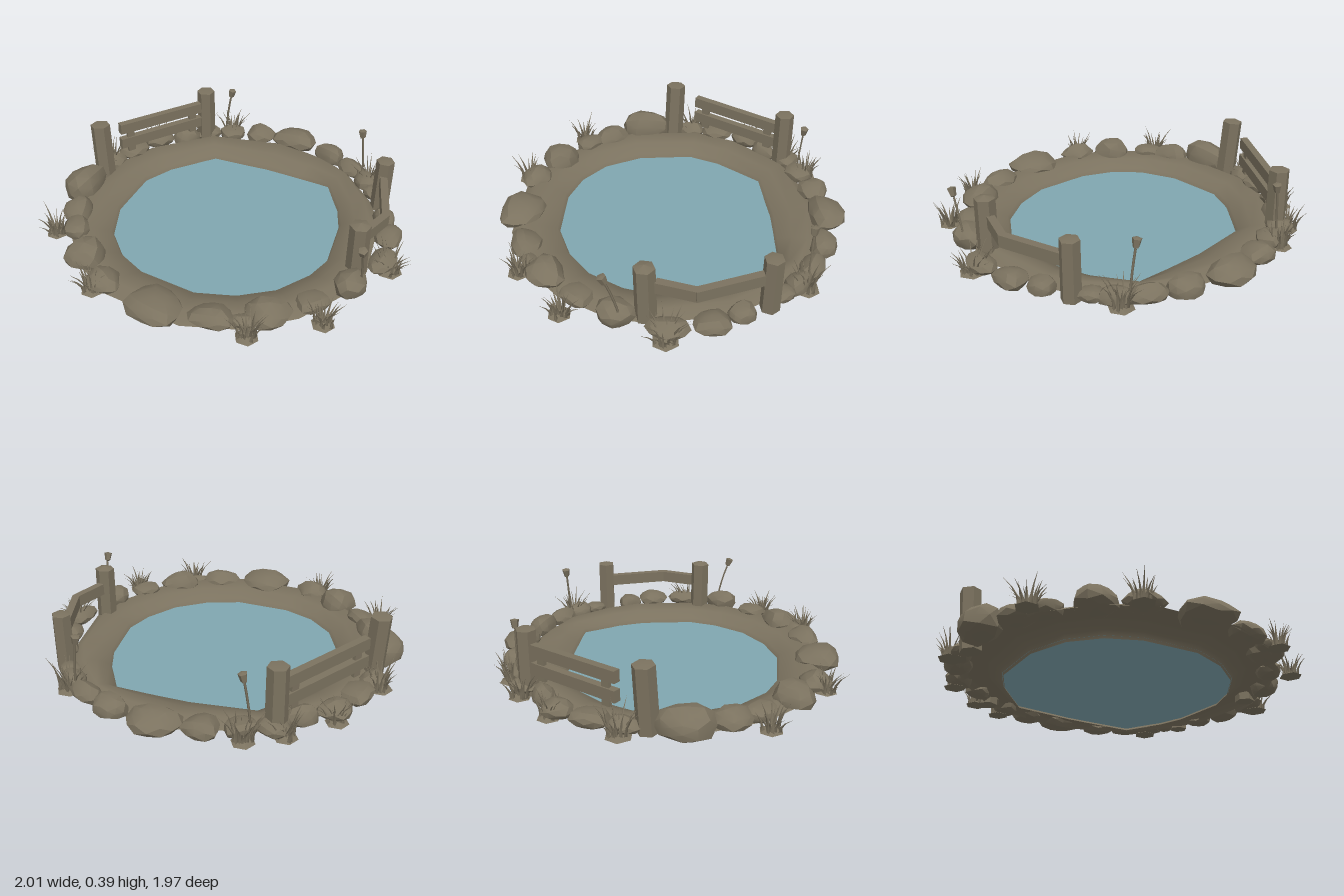
import * as THREE from 'three';
import { toCreasedNormals } from 'three/addons/utils/BufferGeometryUtils.js';

const earth = new THREE.MeshStandardMaterial({ color: 0x7b725f, side: THREE.DoubleSide });
earth.name = 'earth brown';
const waterBlue = new THREE.MeshStandardMaterial({ color: 0x7fa6af, side: THREE.DoubleSide });
waterBlue.name = 'water blue';

// Small seeded random generator
let seed = 7;
const rnd = () => (seed = (seed * 16807) % 2147483647) / 2147483647;
const range = (a, b) => a + (b - a) * rnd();

// Shoreline corners, as [x, z] in order around the pond
const shore = [
  [0.64, -0.28], [0.645, -0.05], [0.62, 0.1], [0.5, 0.37], [0.38, 0.48], [0.2, 0.57], [0, 0.59],
  [-0.2, 0.55], [-0.45, 0.38], [-0.56, 0.23], [-0.61, 0.05], [-0.58, -0.17], [-0.43, -0.44],
  [-0.28, -0.54], [0, -0.64], [0.3, -0.49], [0.48, -0.38],
];

function mesh(name, geometry, material = earth) {
  const m = new THREE.Mesh(geometry, material);
  m.name = name;
  return m;
}

// Bank: rings spreading from the shoreline up to a rounded lip
function bank() {
  const rings = [[0, 0], [0.08, 0.035], [0.4, 0.068], [0.75, 0.085], [1, 0.045]];
  const pos = [], idx = [], n = shore.length;
  for (const [t, y] of rings) {
    for (const [x, z] of shore) {
      const r = Math.hypot(x, z), k = (r + (0.85 - r) * t) / r;
      pos.push(x * k, y, z * k);
    }
  }
  for (let j = 0; j < rings.length - 1; j++) {
    for (let i = 0; i < n; i++) {
      const a = j * n + i, b = j * n + (i + 1) % n;
      idx.push(a, b, a + n, b, b + n, a + n);
    }
  }
  const g = new THREE.BufferGeometry();
  g.setAttribute('position', new THREE.Float32BufferAttribute(pos, 3));
  g.setIndex(idx.reverse());
  g.computeVertexNormals();
  return mesh('bank', g);
}

// Water sheet, meeting the bank just above its lower edge
function water() {
  const s = new THREE.Shape(shore.map(([x, z]) => new THREE.Vector2(x * 1.014, -z * 1.014)));
  const g = new THREE.ShapeGeometry(s);
  g.rotateX(-Math.PI / 2).translate(0, 0.012, 0);
  return mesh('water', g, waterBlue);
}

// Lumpy boulder with a flat base
function rock([x, z, r, h]) {
  const g = new THREE.IcosahedronGeometry(1, 1);
  const p = g.attributes.position, v = new THREE.Vector3();
  const a = range(0, 6), b = range(0, 6), c = range(0, 6);
  for (let i = 0; i < p.count; i++) {
    v.fromBufferAttribute(p, i);
    const k = 1 + 0.1 * Math.sin(3 * v.x + a) + 0.09 * Math.sin(4 * v.z + b) + 0.07 * Math.sin(4 * v.y + c);
    v.multiplyScalar(k);
    p.setXYZ(i, v.x * r, Math.max(v.y, -0.7) * h * 0.6, v.z * r * 0.86);
  }
  const m = mesh('rock', toCreasedNormals(g, 0.5));
  m.position.set(x, 0.045 + h * 0.4, z);
  m.rotation.y = Math.atan2(x, z) + range(-0.3, 0.3);
  return m;
}

// Tuft of bent tapering blades on a small mound
function tuft([x, z, top, spread = 1]) {
  const group = new THREE.Group();
  group.name = 'grassTuft';
  group.position.set(x, 0.04, z);
  const mound = mesh('tuftMound', new THREE.ConeGeometry(0.06 * spread, 0.03, 6));
  mound.position.y = 0.014;
  group.add(mound);
  for (let i = 0; i < 20; i++) {
    const h = top * range(0.5, 1), lean = range(0.015, 0.085) * spread;
    const g = new THREE.ConeGeometry(0.011, h, 3, 3);
    g.translate(0, h / 2, 0);
    const p = g.attributes.position;
    for (let j = 0; j < p.count; j++) {
      const t = p.getY(j) / h;
      p.setX(j, p.getX(j) + lean * t * t);
    }
    g.computeVertexNormals();
    const blade = mesh('grassBlade', g);
    const a = i * 2.4, d = range(0.005, 0.045) * spread;
    blade.position.set(Math.cos(a) * d, 0, -Math.sin(a) * d);
    blade.rotation.y = a;
    group.add(blade);
  }
  return group;
}

// Reed with a bulb head; base and tip points
function reed(base, tip) {
  const group = new THREE.Group();
  group.name = 'reed';
  const a = new THREE.Vector3(...base), c = new THREE.Vector3(...tip);
  const mid = new THREE.Vector3(a.x * 0.8 + c.x * 0.2, (a.y + c.y) / 2, a.z * 0.8 + c.z * 0.2);
  const curve = new THREE.QuadraticBezierCurve3(a, mid, c);
  group.add(mesh('reedStem', new THREE.TubeGeometry(curve, 5, 0.006, 4)));
  const profile = [[0, 0], [0.016, 0.008], [0.024, 0.05], [0, 0.056]].map(q => new THREE.Vector2(...q));
  const head = mesh('reedHead', toCreasedNormals(new THREE.LatheGeometry(profile, 5), 0.5));
  head.position.copy(c);
  head.quaternion.setFromUnitVectors(new THREE.Vector3(0, 1, 0), curve.getTangent(1));
  group.add(head);
  return group;
}

// Stout post with a shallow peak
function post(x, z, top, w, peak, turn, tiltX = 0, tiltZ = 0) {
  const h = top - 0.04, r = w * 0.58;
  const profile = [[0, 0], [r, 0], [r * 0.97, h - peak], [0, h]].map(q => new THREE.Vector2(...q));
  const m = mesh('post', toCreasedNormals(new THREE.LatheGeometry(profile, 6), 0.5));
  m.position.set(x, 0.04, z);
  m.rotation.set(tiltX, turn, tiltZ);
  return m;
}

// Plank between two points
function plank(name, from, to, height, thick) {
  const a = new THREE.Vector3(...from), b = new THREE.Vector3(...to);
  const m = mesh(name, new THREE.BoxGeometry(thick, height, a.distanceTo(b)));
  m.position.copy(a).lerp(b, 0.5);
  m.lookAt(b);
  return m;
}

export function createModel() {
  const model = new THREE.Group();
  model.name = 'gardenPond';
  model.add(bank(), water());

  // Ring of rocks: x, z, radius, height
  const rocks = [
    [0.31, -0.79, 0.09, 0.1], [0.51, -0.71, 0.12, 0.12], [0.7, -0.53, 0.09, 0.1], [0.8, -0.37, 0.085, 0.09],
    [0.85, -0.24, 0.08, 0.08], [0.87, -0.12, 0.06, 0.07], [0.87, 0.12, 0.07, 0.08], [0.85, 0.28, 0.085, 0.09],
    [0.77, 0.47, 0.09, 0.08], [0.57, 0.63, 0.1, 0.11], [0.36, 0.73, 0.08, 0.08], [0.14, 0.79, 0.11, 0.11],
    [-0.14, 0.78, 0.1, 0.09], [-0.4, 0.69, 0.14, 0.1], [-0.65, 0.49, 0.1, 0.09], [-0.75, 0.29, 0.12, 0.11],
    [-0.81, 0.05, 0.09, 0.08], [-0.81, -0.09, 0.1, 0.1], [-0.78, -0.34, 0.14, 0.14], [-0.63, -0.57, 0.08, 0.08],
    [-0.5, -0.69, 0.09, 0.09], [-0.34, -0.8, 0.09, 0.09], [-0.17, -0.81, 0.08, 0.09], [-0.03, -0.86, 0.08, 0.08],
    [0.13, -0.83, 0.08, 0.08], [0.02, 0.82, 0.06, 0.06],
  ];
  rocks.forEach(r => model.add(rock(r)));

  // Grass tufts: x, z, height, spread
  const tufts = [
    [-0.92, 0.04, 0.15], [-0.71, 0.51, 0.14], [-0.65, -0.61, 0.16, 1.15], [-0.34, -0.84, 0.14],
    [-0.07, -0.9, 0.16], [0.13, -0.89, 0.17], [0.88, -0.27, 0.18, 1.1], [0.8, 0.5, 0.16, 1.15],
    [0.39, 0.84, 0.14], [0.02, 0.89, 0.15],
  ];
  tufts.forEach(t => model.add(tuft(t)));

  // Reeds
  model.add(reed([0.085, 0.05, -0.86], [0.115, 0.33, -0.85]));
  model.add(reed([0.85, 0.05, -0.3], [0.83, 0.32, -0.32]));
  model.add(reed([0.62, 0.05, 0.63], [0.59, 0.315, 0.685]));

  // Back fence: two posts, two rails and their cleats
  const back = new THREE.Group();
  back.name = 'backFence';
  back.add(post(-0.67, -0.47, 0.395, 0.1, 0.006, 0.4, -0.08, 0.03), post(-0.04, -0.84, 0.395, 0.095, 0.006, 0.4, 0, 0.01));
  back.add(plank('upperRail', [-0.575, 0.302, -0.58], [-0.07, 0.29, -0.825], 0.062, 0.04));
  back.add(plank('lowerRail', [-0.575, 0.203, -0.58], [-0.07, 0.193, -0.825], 0.062, 0.04));
  for (const t of [0.12, 0.88]) {
    const x = -0.575 + 0.5 * t, z = -0.58 - 0.245 * t;
    back.add(plank('cleat', [x - 0.02, 0.2, z + 0.01], [x + 0.02, 0.2, z - 0.01], 0.13, 0.02));
  }

  // Side fence: two posts and a bent rail
  const side = new THREE.Group();
  side.name = 'sideFence';
  side.add(post(0.625, 0.5, 0.368, 0.095, 0.018, 0.3, 0, 0.02), post(0.885, -0.035, 0.362, 0.088, 0.01, 0.1));
  side.add(plank('rail', [0.65, 0.243, 0.46], [0.8, 0.243, 0.33], 0.064, 0.04));
  side.add(plank('rail', [0.797, 0.243, 0.34], [0.875, 0.243, 0], 0.064, 0.04));
  model.add(back, side);
  return model;
}
